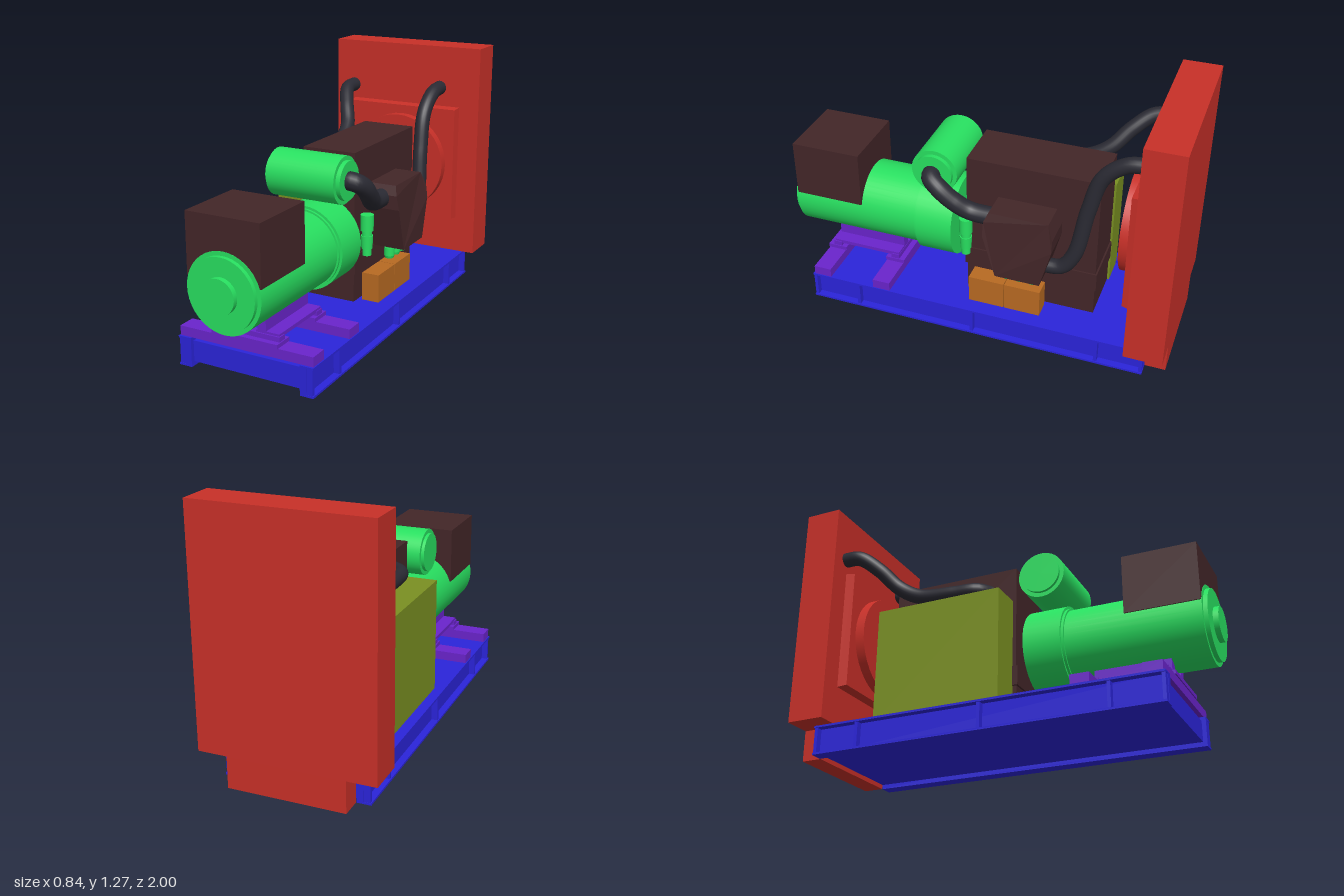
import * as THREE from 'three';

const mat = (color) => new THREE.MeshStandardMaterial({ color });
const M = {
  red: mat(0xc83028), blue: mat(0x2b24da), green: mat(0x28e060), brown: mat(0x432628),
  olive: mat(0x7a9022), orange: mat(0xb86a22), purple: mat(0x6a24cc), black: mat(0x2a2a33),
};

export function createModel() {
  const root = new THREE.Group();
  root.name = 'generatorSet';

  const add = (name, geo, material) => {
    const mesh = new THREE.Mesh(geo, material);
    mesh.name = name;
    root.add(mesh);
    return mesh;
  };
  // Box given by its limits on each axis
  const box = (name, m, x0, x1, y0, y1, z0, z1) => {
    const g = new THREE.BoxGeometry(x1 - x0, y1 - y0, z1 - z0);
    g.translate((x0 + x1) / 2, (y0 + y1) / 2, (z0 + z1) / 2);
    return add(name, g, m);
  };
  // Solid of revolution from hard-edged steps: [radius, start, end] along +y
  const turned = (name, m, steps, place) => {
    const group = new THREE.Group();
    group.name = name;
    for (const [r, a, b, rEnd = r] of steps) {
      const g = new THREE.CylinderGeometry(rEnd, r, b - a, 40);
      g.translate(0, (a + b) / 2, 0);
      const mesh = new THREE.Mesh(g, m);
      mesh.name = name + 'Section';
      group.add(mesh);
    }
    place(group);
    root.add(group);
  };
  const hose = (name, r, pts) => {
    const curve = new THREE.CatmullRomCurve3(pts.map((p) => new THREE.Vector3(...p)));
    const mesh = add(name, new THREE.TubeGeometry(curve, 48, r, 20), M.black);
    // Closed hose ends
    for (const t of [0, 1]) {
      const cap = new THREE.Mesh(new THREE.CircleGeometry(r, 20), M.black);
      cap.name = name + 'End';
      const p = curve.getPointAt(t);
      cap.position.copy(p);
      cap.lookAt(p.clone().addScaledVector(curve.getTangentAt(t), t ? 1 : -1));
      mesh.add(cap);
    }
  };

  // Base frame: deck plus two outward-facing channel rails with stiffeners
  box('baseDeck', M.blue, -0.29, 0.29, 0.022, 0.124, -0.9, 0.8);
  for (const s of [-1, 1]) {
    const rail = (name, a, b, y0, y1, z0, z1) =>
      box(name, M.blue, Math.min(s * a, s * b), Math.max(s * a, s * b), y0, y1, z0, z1);
    rail('railWeb', 0.283, 0.315, 0, 0.142, -0.9, 0.82);
    rail('railTopFlange', 0.283, 0.35, 0.132, 0.142, -0.9, 0.82);
    rail('railBottomFlange', 0.283, 0.35, 0, 0.01, -0.9, 0.82);
    for (const z of [0.81, 0.57, -0.04, -0.67, -0.89])
      rail('railStiffener', 0.31, 0.345, 0.01, 0.132, z - 0.008, z + 0.008);
  }

  // Radiator with foot, tapered shroud and fan ring
  box('radiator', M.red, -0.42, 0.42, 0.152, 1.275, -1, -0.815);
  box('radiatorFoot', M.red, -0.28, 0.28, 0, 0.152, -1, -0.9);
  const shroud = box('fanShroud', M.red, -0.312, 0.312, 0.34, 0.957, -0.82, -0.768);
  const sp = shroud.geometry.attributes.position;
  for (let i = 0; i < sp.count; i++) {
    if (sp.getZ(i) < -0.8) continue;
    sp.setX(i, sp.getX(i) * 0.975);
    sp.setY(i, 0.648 + (sp.getY(i) - 0.648) * 0.975);
  }
  shroud.geometry.computeVertexNormals();
  turned('fanRing', M.red, [[0.26, -0.77, -0.72]], (g) => {
    g.rotation.x = Math.PI / 2;
    g.position.y = 0.645;
  });

  // Engine block, skirt and sump
  box('engineBlock', M.brown, -0.14, 0.14, 0.36, 0.878, -0.6, 0.053);
  box('engineSkirt', M.brown, -0.148, 0.148, 0.27, 0.365, -0.608, 0.062);
  box('engineSump', M.brown, -0.138, 0.138, 0.124, 0.27, -0.6, 0.053);

  // Side tank and battery pair
  box('sideTank', M.olive, -0.3, -0.14, 0.124, 0.705, -0.61, 0.035);
  for (const z of [-0.358, -0.174])
    box('battery', M.orange, 0.16, 0.25, 0.124, 0.266, z, z + 0.18);

  // Air filter housing: side outline extruded outward, upper part leaning in
  const outline = [
    [-0.107, 0.697], [-0.397, 0.697], [-0.424, 0.627], [-0.424, 0.563],
    [-0.37, 0.36], [-0.15, 0.36], [-0.086, 0.58], [-0.086, 0.65],
  ].map(([z, y]) => new THREE.Vector2(-z, y));
  const fg = new THREE.ExtrudeGeometry(new THREE.Shape(outline), { depth: 0.17, bevelEnabled: false });
  fg.rotateY(Math.PI / 2);
  fg.translate(0.14, 0, 0);
  const fp = fg.attributes.position;
  for (let i = 0; i < fp.count; i++)
    if (fp.getX(i) > 0.2) fp.setX(i, 0.31 - Math.max(0, fp.getY(i) - 0.6) * 0.3);
  fg.computeVertexNormals();
  add('airFilterHousing', fg, M.brown);

  // Alternator barrel, coupling housing and end caps along z
  turned('alternator', M.green, [
    [0.208, 0.115, 0.3], [0.187, 0.3, 0.955], [0.168, 0.955, 0.975], [0.082, 0.975, 1],
  ], (g) => {
    g.rotation.x = Math.PI / 2;
    g.position.y = 0.458;
  });
  turned('couplingLip', M.green, [[0.196, 0.295, 0.312]], (g) => {
    g.rotation.x = Math.PI / 2;
    g.position.y = 0.458;
  });
  box('controlBox', M.brown, -0.185, 0.185, 0.51, 0.795, 0.6, 0.953);

  // Alternator mounts: cross beams, pads, posts and longitudinal feet
  for (const z of [0.44, 0.765]) {
    box('mountBeam', M.purple, -0.345, 0.345, 0.142, 0.188, z - 0.045, z + 0.045);
    box('mountPlate', M.purple, -0.17, 0.17, 0.188, 0.207, z - 0.05, z + 0.05);
    box('mountPad', M.purple, -0.165, 0.165, 0.207, 0.23, z - 0.022, z + 0.022);
  }
  for (const s of [-1, 1]) {
    box('footWeb', M.purple, s * 0.07 - 0.022, s * 0.07 + 0.022, 0.23, 0.31, 0.42, 0.78);
    box('footFlange', M.purple, s * 0.1 - 0.06, s * 0.1 + 0.06, 0.222, 0.24, 0.42, 0.78);
  }

  // Muffler drum lying across the model
  turned('mufflerDrum', M.green, [
    [0.095, -0.205, -0.19], [0.115, -0.19, 0.17], [0.095, 0.17, 0.192],
  ], (g) => {
    g.rotation.z = -Math.PI / 2;
    g.position.set(0, 0.787, 0.205);
  });

  // Fluid filters
  turned('tallFilter', M.green, [
    [0.022, 0.375, 0.41], [0.027, 0.41, 0.475, 0.03], [0.025, 0.475, 0.5], [0.032, 0.5, 0.58],
  ], (g) => g.position.set(0.2, 0, 0.037));
  for (const z of [-0.18, -0.245, -0.31])
    turned('smallFilter', M.green, [[0.022, 0.297, 0.31, 0.026], [0.026, 0.31, 0.352], [0.02, 0.352, 0.375]],
      (g) => g.position.set(0.217, 0, z));

  // Hoses
  hose('leftCoolantHose', 0.037, [
    [-0.318, 1.03, -0.82], [-0.316, 1.02, -0.73], [-0.27, 0.95, -0.635], [-0.22, 0.86, -0.55],
    [-0.2, 0.8, -0.44], [-0.195, 0.78, -0.25], [-0.18, 0.78, -0.14], [-0.12, 0.78, -0.09],
  ]);
  hose('rightCoolantHose', 0.037, [
    [0.196, 1.055, -0.82], [0.196, 1.04, -0.72], [0.196, 0.95, -0.615], [0.205, 0.77, -0.56],
    [0.22, 0.52, -0.51], [0.225, 0.44, -0.455], [0.225, 0.425, -0.36],
  ]);
  hose('mufflerHose', 0.045, [
    [0.15, 0.787, 0.205], [0.215, 0.785, 0.205], [0.24, 0.755, 0.16], [0.235, 0.69, 0.085],
    [0.215, 0.64, 0.01], [0.21, 0.63, -0.13],
  ]);

  return root;
}
